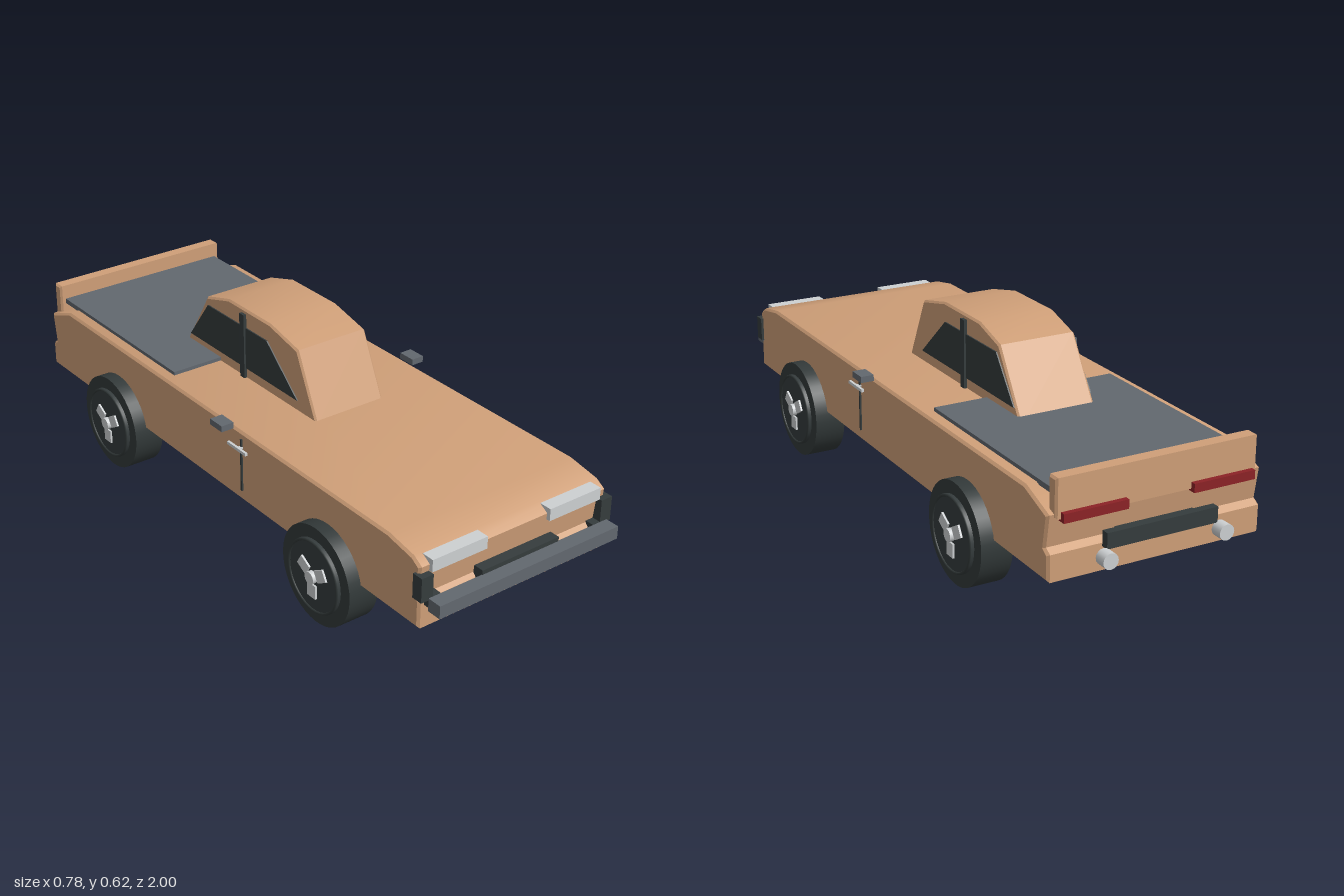
import * as THREE from 'three';
import { toCreasedNormals } from 'three/addons/utils/BufferGeometryUtils.js';

const mat = (name, color) => {
  const m = new THREE.MeshStandardMaterial({ color });
  m.name = name;
  return m;
};

export function createModel() {
  const car = new THREE.Group();
  car.name = 'pickupCar';
  const paint = mat('tan paint', 0xcf9f78);
  const dark = mat('dark trim', 0x353c3d);
  const glass = mat('dark glass', 0x343b3c);
  const rubber = mat('tyre rubber', 0x323939);
  const grey = mat('grey plastic', 0x62686f);
  const chrome = mat('light metal', 0xcdd0d2);
  const red = mat('tail light red', 0x8c2226);

  const add = (name, geometry, material, parent = car) => {
    const mesh = new THREE.Mesh(geometry, material);
    mesh.name = name;
    parent.add(mesh);
    return mesh;
  };

  // Box given by its limits on each axis
  const box = (name, material, [x0, x1], [y0, y1], [z0, z1]) => {
    const mesh = add(name, new THREE.BoxGeometry(x1 - x0, y1 - y0, z1 - z0), material);
    mesh.position.set((x0 + x1) / 2, (y0 + y1) / 2, (z0 + z1) / 2);
    return mesh;
  };

  // Side profile of [z, y] points, extruded across x
  const profile = (points, width, bevel) => {
    const shape = new THREE.Shape(points.map(([z, y]) => new THREE.Vector2(z, y)));
    const g = new THREE.ExtrudeGeometry(shape, {
      depth: width - 2 * bevel, bevelEnabled: bevel > 0, bevelSize: bevel,
      bevelThickness: bevel, bevelOffset: -bevel, bevelSegments: 1,
    });
    g.translate(0, 0, -(width - 2 * bevel) / 2);
    g.rotateY(-Math.PI / 2);
    return toCreasedNormals(g, 0.45);
  };

  // Body, with a slight step above the front and rear lower bumpers
  add('body', profile([
    [-0.94, 0.175], [0.932, 0.175], [0.932, 0.258], [0.922, 0.27], [0.932, 0.362],
    [0.9, 0.382], [0.8, 0.4], [-0.82, 0.4], [-0.935, 0.358], [-0.92, 0.265], [-0.94, 0.252],
  ], 0.654, 0.007), paint);

  // Narrow cabin
  add('cabin', profile([
    [0.227, 0.39], [0.135, 0.59], [0, 0.621], [-0.21, 0.621], [-0.325, 0.587], [-0.447, 0.39],
  ], 0.244, 0.006), paint);

  // Bed cover and tailgate
  box('bedCover', grey, [-0.29, 0.29], [0.395, 0.411], [-0.91, -0.257]);
  add('tailgate', profile([
    [-0.942, 0.345], [-0.905, 0.345], [-0.905, 0.457], [-0.942, 0.457],
  ], 0.614, 0.006), paint);

  // Front end
  box('frontBumper', grey, [-0.315, 0.315], [0.24, 0.279], [0.955, 1]);
  box('grille', dark, [-0.135, 0.135], [0.228, 0.292], [0.915, 0.957]);

  // Rear bar
  box('rearBar', dark, [-0.17, 0.17], [0.245, 0.29], [-0.968, -0.945]);
  box('rearBarMount', dark, [-0.12, 0.12], [0.255, 0.28], [-0.95, -0.915]);

  const windowPoints = [[0.138, 0.432], [-0.01, 0.564], [-0.315, 0.564], [-0.415, 0.432]];
  for (const s of [1, -1]) {
    const side = s > 0 ? 'left' : 'right';
    const span = (a, b) => (s > 0 ? [a, b] : [-b, -a]);

    // Windows and pillar
    add(side + 'Window', profile(windowPoints, 0.008, 0), glass).position.x = s * 0.122;
    box(side + 'Pillar', dark, span(0.118, 0.132), [0.4, 0.607], [-0.139, -0.117]);

    // Front lights, bumper ends and vents
    box(side + 'Headlight', chrome, span(0.11, 0.295), [0.343, 0.38], [0.897, 0.943]);
    box(side + 'BumperEnd', dark, span(0.296, 0.335), [0.268, 0.342], [0.915, 0.95]);
    box(side + 'BumperBracket', dark, span(0.27, 0.31), [0.245, 0.275], [0.92, 0.96]);
    box(side + 'LowerVent', dark, span(0.162, 0.272), [0.21, 0.229], [0.93, 0.937]);

    // Tail lights and exhaust tips
    box(side + 'TailLight', red, span(0.1, 0.292), [0.338, 0.364], [-0.957, -0.93]);
    const tip = add(side + 'ExhaustTip', new THREE.CylinderGeometry(0.023, 0.023, 0.036, 16), chrome);
    tip.rotation.x = Math.PI / 2;
    tip.position.set(s * 0.178, 0.227, -0.982);

    // Mirror, door line and handle
    box(side + 'Mirror', grey, span(0.328, 0.369), [0.397, 0.416], [0.053, 0.111]);
    box(side + 'DoorLine', dark, span(0.325, 0.332), [0.21, 0.378], [0.146, 0.152]);
    box(side + 'DoorHandle', chrome, span(0.338, 0.346), [0.348, 0.357], [0.102, 0.192]);
    box(side + 'HandleMount', chrome, span(0.325, 0.34), [0.35, 0.355], [0.143, 0.155]);

    // Wheels
    for (const [end, z] of [['Front', 0.55], ['Rear', -0.52]]) {
      const wheel = new THREE.Group();
      wheel.name = side + end + 'Wheel';
      wheel.position.set(s * 0.319, 0.15, z);
      car.add(wheel);

      const disc = (name, radius, width, material, segments = 40) => {
        const g = new THREE.CylinderGeometry(radius, radius, width, segments);
        g.rotateZ(Math.PI / 2);
        return add(name, g, material, wheel);
      };
      disc('tyre', 0.15, 0.096, rubber);
      disc('rim', 0.112, 0.114, dark);
      disc('hub', 0.019, 0.142, chrome, 20);

      for (const face of [1, -1]) {
        const ring = add('rimRing', new THREE.TorusGeometry(0.108, 0.004, 6, 40), rubber, wheel);
        ring.rotation.y = Math.PI / 2;
        ring.position.x = face * 0.057;
        // Three stubby spokes, one pointing down
        for (let i = 0; i < 3; i++) {
          const g = new THREE.BoxGeometry(0.008, 0.042, 0.036);
          g.translate(face * 0.059, -0.043, 0);
          g.rotateX((i * Math.PI * 2) / 3);
          add('spoke', g, chrome, wheel);
        }
      }
    }
  }
  return car;
}
